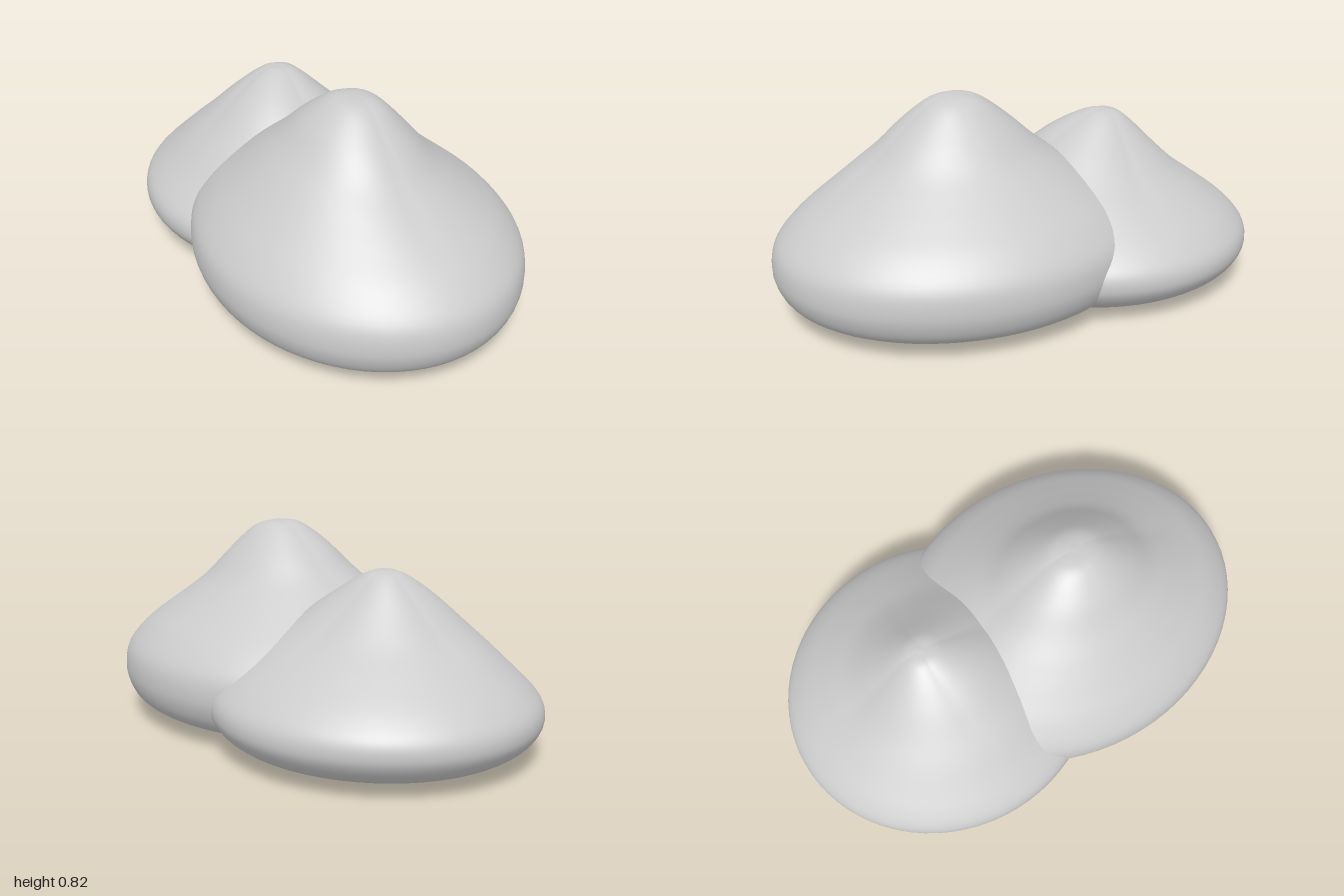
import * as THREE from 'three';
import { mergeVertices } from 'three/addons/utils/BufferGeometryUtils.js';

const material = new THREE.MeshStandardMaterial({ color: 0xcccccc });

// Soft peaked mound: a smooth lathe stretched to an oval, fuller on one side.
// profile: [radius fraction, height] from the base centre up to the peak
// bulge(dx, dz): extra height on the slope facing the given unit direction
function mound(name, profile, { rx, rz, z, peakShift, bulge }) {
  const curve = new THREE.SplineCurve(profile.map(([r, y]) => new THREE.Vector2(r, y)));
  const points = curve.getPoints(72).map(p => new THREE.Vector2(THREE.MathUtils.clamp(p.x, 0, 1), p.y));
  let geometry = new THREE.LatheGeometry(points, 72);
  geometry.deleteAttribute('uv');
  geometry.deleteAttribute('normal');
  geometry = mergeVertices(geometry, 1e-4);

  const pos = geometry.attributes.position;
  const rim = 0.22;
  const top = profile[profile.length - 1][1];
  for (let i = 0; i < pos.count; i++) {
    const x = pos.getX(i), y = pos.getY(i), w = pos.getZ(i);
    const r = Math.min(Math.hypot(x, w), 1);
    const upper = THREE.MathUtils.smoothstep(y, rim, rim + 0.15);
    const swell = Math.sin(Math.PI * Math.pow(r, 0.8)) ** 2;
    const lift = r > 1e-4 ? bulge(x / r, w / r) * swell : 0;
    const lean = peakShift * THREE.MathUtils.smoothstep(y, rim, top);
    pos.setXYZ(i, x * rx, y + lift * upper, w * rz + lean);
  }
  geometry.computeVertexNormals();

  const mesh = new THREE.Mesh(geometry, material);
  mesh.name = name;
  mesh.position.z = z;
  return mesh;
}

export function createModel() {
  const group = new THREE.Group();
  group.name = 'twinMounds';

  // Taller front mound
  group.add(mound('frontMound', [
    [0, 0.015], [0.4, 0.018], [0.65, 0.027], [0.82, 0.05], [0.93, 0.09], [0.985, 0.15], [1, 0.22],
    [0.97, 0.3], [0.86, 0.385], [0.72, 0.457], [0.585, 0.522], [0.45, 0.592],
    [0.315, 0.685], [0.17, 0.778], [0.085, 0.81], [0, 0.82],
  ], {
    rx: 0.615, rz: 0.75, z: 0.25, peakShift: 0.02,
    bulge: (dx, dz) => 0.055 * Math.max(0, -dx) + 0.02 * Math.max(0, -dz),
  }));

  // Lower rear mound
  group.add(mound('rearMound', [
    [0, 0], [0.35, 0.003], [0.6, 0.015], [0.8, 0.04], [0.92, 0.08], [0.985, 0.13], [1, 0.175],
    [0.98, 0.22], [0.92, 0.265], [0.83, 0.312], [0.67, 0.38], [0.5, 0.45], [0.326, 0.54],
    [0.16, 0.635], [0.08, 0.672], [0, 0.685],
  ], {
    rx: 0.615, rz: 0.65, z: -0.35, peakShift: -0.05,
    bulge: (dx, dz) => 0.06 * Math.max(0, -dx) + 0.055 * Math.max(0, dz),
  }));

  return group;
}
